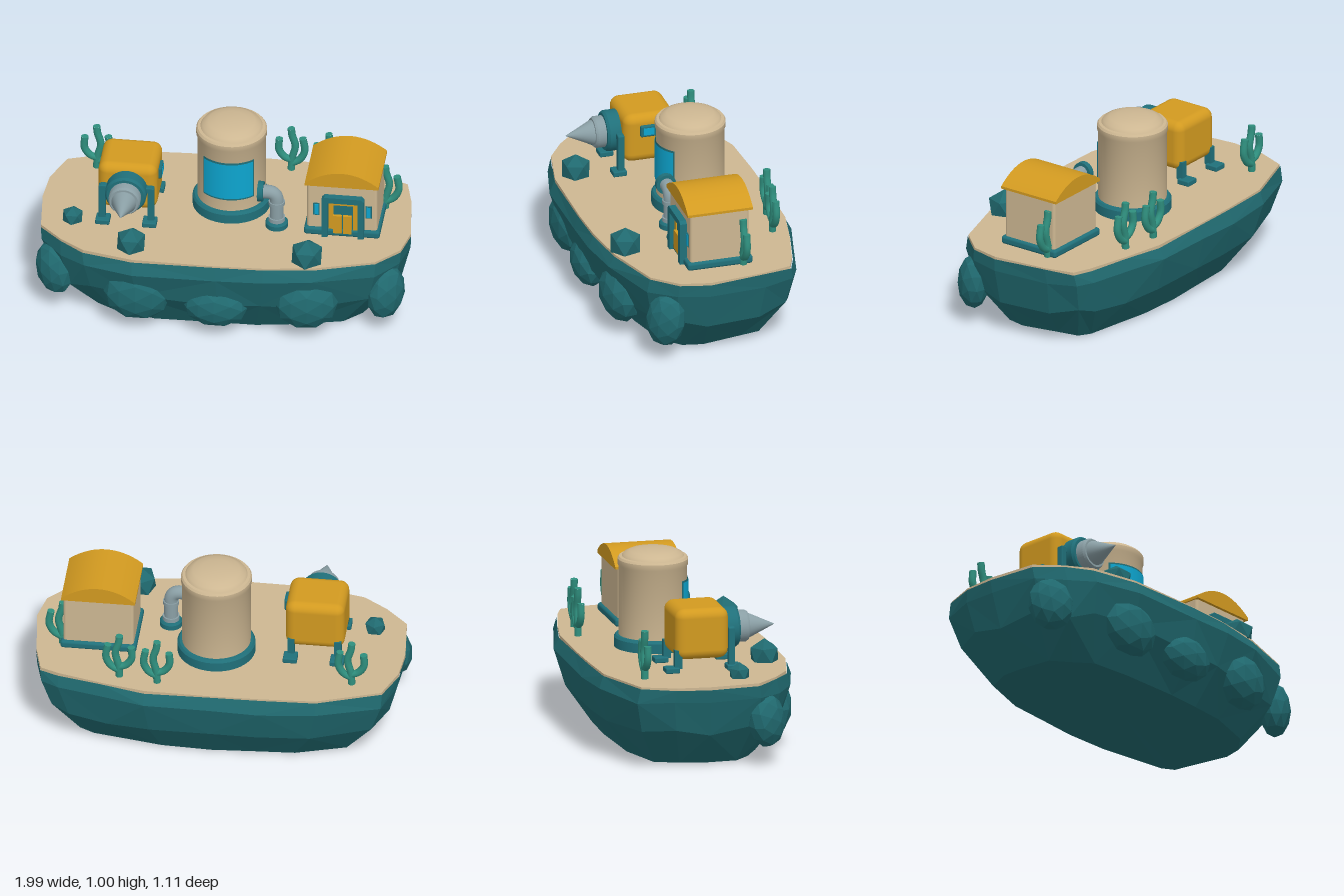
import * as THREE from 'three';
import { toCreasedNormals } from 'three/addons/utils/BufferGeometryUtils.js';
import { RoundedBoxGeometry } from 'three/addons/geometries/RoundedBoxGeometry.js';

const paint = (name, color, extra = {}) => {
  const m = new THREE.MeshStandardMaterial({ color, ...extra });
  m.name = name;
  return m;
};

export function createModel() {
  const teal = paint('teal', 0x20707a);
  const rockTeal = paint('rock teal', 0x20696f, { flatShading: true });
  const sand = paint('sand', 0xcdb792);
  const ochre = paint('ochre', 0xd29a20);
  const blue = paint('window blue', 0x0da5cf, { side: THREE.DoubleSide });
  const grey = paint('steel grey', 0x8a9fa5);
  const green = paint('plant green', 0x2f8f7e);

  const model = new THREE.Group();
  model.name = 'islandBase';
  const group = (name, x, y, z) => {
    const g = new THREE.Group();
    g.name = name;
    g.position.set(x, y, z);
    model.add(g);
    return g;
  };
  const add = (parent, name, geo, mat, x = 0, y = 0, z = 0) => {
    const m = new THREE.Mesh(geo, mat);
    m.name = name;
    m.position.set(x, y, z);
    parent.add(m);
    return m;
  };
  const box = (w, h, d, r = 0) => r ? new RoundedBoxGeometry(w, h, d, 3, r) : new THREE.BoxGeometry(w, h, d);
  const lathe = (pts, n = 40) => toCreasedNormals(
    new THREE.LatheGeometry(pts.map(p => new THREE.Vector2(...p)), n), 0.6);

  let seed = 7;
  const rand = () => (seed = (seed * 16807) % 2147483647) / 2147483647 - 0.5;

  // Island outline, clockwise seen from above, starting at the back left
  const outline = [[-0.98, -0.21], [-0.91, -0.39], [-0.57, -0.51], [-0.28, -0.525], [0, -0.53], [0.34, -0.525],
    [0.57, -0.48], [0.81, -0.42], [0.91, -0.38], [0.95, -0.22], [0.985, 0.08], [0.95, 0.24], [0.83, 0.37],
    [0.51, 0.47], [0.25, 0.505], [0, 0.515], [-0.45, 0.51], [-0.72, 0.45], [-0.85, 0.36], [-0.97, 0.24], [-0.995, -0.03]];

  // Faceted rock body: rings shrinking towards the flat underside
  const levels = [[0.01, 0.78, 0.7, 0.015], [0.21, 0.945, 0.965, 0.05], [0.39, 0.995, 1.055, 0.025], [0.462, 1.003, 1.008, 0.01]];
  const rings = levels.map(([y, sx, sz, j]) => outline.map(([x, z]) =>
    [x * sx + rand() * j * 0.4, y + rand() * j, z * sz + rand() * j * 0.4]));
  const pos = [];
  const n = outline.length;
  for (let i = 0; i < n; i++) {
    const k = (i + 1) % n;
    pos.push(0, 0.008, 0, ...rings[0][i], ...rings[0][k]);
    for (let l = 0; l < rings.length - 1; l++) {
      const a = rings[l][i], b = rings[l][k], c = rings[l + 1][k], d = rings[l + 1][i];
      if ((i + l) % 2) pos.push(...a, ...d, ...c, ...a, ...c, ...b);
      else pos.push(...a, ...d, ...b, ...d, ...c, ...b);
    }
  }
  const rock = new THREE.BufferGeometry();
  rock.setAttribute('position', new THREE.Float32BufferAttribute(pos, 3));
  rock.computeVertexNormals();
  add(model, 'rockBody', rock, rockTeal);

  // Sand slab on top
  const ground = new THREE.Shape(outline.map(([x, z]) => new THREE.Vector2(x, -z)));
  add(model, 'sandTop', new THREE.ExtrudeGeometry(ground, { depth: 0.02, bevelEnabled: false }).rotateX(-Math.PI / 2),
    sand, 0, 0.453, 0);

  // Boulders bulging from the front and corners: position, radii, turn, lean
  [[-0.43, 0.225, 0.45, 0.18, 0.16, 0.09, 0, 0], [-0.01, 0.19, 0.46, 0.175, 0.125, 0.09, 0, 0],
    [0.47, 0.225, 0.43, 0.17, 0.155, 0.1, 0.15, 0], [-0.89, 0.25, 0.3, 0.12, 0.15, 0.09, -0.8, 0.2],
    [0.88, 0.24, 0.3, 0.11, 0.155, 0.085, 0.8, -0.15]].forEach(([x, y, z, a, b, c, turn, lean]) => {
    const m = add(model, 'boulder', new THREE.IcosahedronGeometry(1, 1), rockTeal, x, y, z);
    m.scale.set(a, b, c);
    m.rotation.set(0, turn, lean);
  });

  // Loose stones, each with one corner upwards
  [[-0.81, 0.17, 0.06], [-0.47, 0.39, 0.085], [0.47, 0.4, 0.092]].forEach(([x, z, r]) => {
    const geo = new THREE.IcosahedronGeometry(r, 0).rotateZ(-0.5536).rotateY(0.3);
    add(model, 'stone', geo, rockTeal, x, 0.465 + r * 0.5, z);
  });

  // Storage tank with curved window
  const tank = group('tank', 0.005, 0.47, -0.1);
  add(tank, 'tankFoot', lathe([[0, 0], [0.207, 0], [0.207, 0.055], [0.197, 0.068], [0, 0.068]]), teal);
  add(tank, 'tankBody', lathe([[0.182, 0.05], [0.182, 0.44], [0.188, 0.45], [0.188, 0.48], [0.18, 0.491], [0.165, 0.493],
    [0.155, 0.508], [0.125, 0.522], [0.08, 0.531], [0, 0.535]]), sand);
  const curvedPlate = (r, h, a) => new THREE.CylinderGeometry(r, r, h, 20, 1, true, -a, 2 * a);
  const tealPlate = paint('teal', 0x20707a, { side: THREE.DoubleSide });
  add(tank, 'tankWindowFrame', curvedPlate(0.185, 0.236, 0.82), tealPlate, 0, 0.255, 0);
  add(tank, 'tankWindow', curvedPlate(0.188, 0.216, 0.765), blue, 0, 0.255, 0);

  // Elbow pipe beside the tank
  const pipe = group('pipe', 0.27, 0.47, 0.09);
  add(pipe, 'pipeFoot', lathe([[0, 0], [0.06, 0], [0.06, 0.03], [0.052, 0.04], [0, 0.04]], 24), teal);
  add(pipe, 'pipeCollar', new THREE.CylinderGeometry(0.045, 0.045, 0.025, 24), grey, 0, 0.05, 0);
  const bend = new THREE.CurvePath();
  const v = (x, y, z = 0) => new THREE.Vector3(x, y, z);
  bend.add(new THREE.LineCurve3(v(0, 0.03), v(0, 0.16)));
  bend.add(new THREE.QuadraticBezierCurve3(v(0, 0.16), v(0, 0.215), v(-0.05, 0.215)));
  bend.add(new THREE.LineCurve3(v(-0.05, 0.215), v(-0.1, 0.215)));
  add(pipe, 'elbow', new THREE.TubeGeometry(bend, 32, 0.037, 20), grey);
  add(pipe, 'elbowRing', new THREE.CylinderGeometry(0.043, 0.043, 0.02, 24), grey, 0, 0.15, 0);
  add(pipe, 'pipeFlange', new THREE.CylinderGeometry(0.055, 0.055, 0.03, 24).rotateZ(Math.PI / 2), teal, -0.085, 0.215, 0);

  // House with barrel roof
  const house = group('house', 0.625, 0.47, -0.02);
  add(house, 'plinth', box(0.405, 0.045, 0.36, 0.015), teal, 0, 0.028, 0);
  add(house, 'walls', box(0.375, 0.3, 0.325, 0.015), sand, 0, 0.185, 0);
  const roof = new THREE.Shape();
  roof.moveTo(-0.197, 0).lineTo(0.197, 0).lineTo(0.197, 0.014);
  roof.quadraticCurveTo(0.1, 0.09, 0, 0.09).quadraticCurveTo(-0.1, 0.09, -0.197, 0.014);
  const roofGeo = new THREE.ExtrudeGeometry(roof, { depth: 0.36, bevelEnabled: false, curveSegments: 12 });
  add(house, 'roof', toCreasedNormals(roofGeo, 0.5), ochre, 0, 0.32, -0.18);

  // Doorway: outer arch, ochre lining, recess and two door leaves
  const arch = (w, h, t, depth) => {
    const s = new THREE.Shape([[-w, 0], [-w + t, 0], [-w + t, h - t], [w - t, h - t], [w - t, 0], [w, 0],
      [w, h - 0.015], [w - 0.015, h], [-w + 0.015, h], [-w, h - 0.015]].map(p => new THREE.Vector2(...p)));
    return new THREE.ExtrudeGeometry(s, { depth, bevelEnabled: false });
  };
  add(house, 'doorFrame', arch(0.113, 0.25, 0.033, 0.045), teal, 0.007, 0.012, 0.155);
  add(house, 'doorLining', arch(0.079, 0.215, 0.027, 0.012), ochre, 0.007, 0.012, 0.16);
  add(house, 'doorRecess', box(0.11, 0.17, 0.006), teal, 0.007, 0.115, 0.165);
  for (const s of [-1, 1]) {
    add(house, 'doorLeaf', box(0.046, 0.11, 0.02), ochre, 0.004 + s * 0.026, 0.085, 0.175);
    add(house, 'sideWindowFrame', box(0.034, 0.075, 0.006), teal, 0.003 + s * 0.139, 0.165, 0.164);
    add(house, 'sideWindow', box(0.022, 0.063, 0.006), blue, 0.003 + s * 0.139, 0.165, 0.167);
  }

  // Drilling machine
  const drill = group('drillMachine', -0.522, 0.47, 0);
  add(drill, 'machineBody', box(0.315, 0.275, 0.29, 0.05), ochre, 0, 0.212, 0.005);
  const front = (geo) => geo.rotateX(Math.PI / 2);
  add(drill, 'drillCollar', front(lathe([[0, 0], [0.11, 0], [0.11, 0.065], [0.1, 0.078], [0, 0.078]])), teal, 0, 0.212, 0.147);
  add(drill, 'drillChuck', front(lathe([[0, 0], [0.085, 0], [0.085, 0.05], [0.077, 0.062], [0, 0.062]])), grey, 0, 0.212, 0.22);
  add(drill, 'drillTip', front(lathe([[0.066, 0], [0.066, 0.012], [0, 0.155]])), grey, 0, 0.212, 0.278);
  for (const s of [-1, 1]) {
    for (const z of [-0.16, 0.175]) {
      add(drill, 'foot', box(0.075, 0.03, 0.075, 0.006), teal, s * 0.125, 0.025, z);
    }
    add(drill, 'frontPost', box(0.036, 0.21, 0.036, 0.006), teal, s * 0.13, 0.135, 0.165);
    add(drill, 'frontBrace', box(0.06, 0.035, 0.036, 0.006), teal, s * 0.11, 0.225, 0.165);
    add(drill, 'backPost', box(0.036, 0.1, 0.04), teal, s * 0.125, 0.08, -0.125);
  }
  add(drill, 'machineWindowFrame', box(0.024, 0.065, 0.09, 0.008), teal, 0.162, 0.262, 0.02);
  add(drill, 'machineWindow', box(0.008, 0.04, 0.06), blue, 0.172, 0.262, 0.02);

  // Branching plants: a wavy trunk and two arms, flat at the tips
  const stems = [[[0, 0], [0.005, 0.07], [0.022, 0.15], [0.004, 0.22], [0, 0.26]],
    [[0.002, 0.06], [-0.035, 0.075], [-0.065, 0.12], [-0.063, 0.19]],
    [[0.005, 0.04], [0.045, 0.065], [0.072, 0.12], [0.062, 0.2]]];
  [[-0.745, -0.33], [0.28, -0.44], [0.485, -0.41], [0.82, -0.147]].forEach(([x, z]) => {
    const plant = group('plant', x, 0.478, z);
    for (const pts of stems) {
      const curve = new THREE.CatmullRomCurve3(pts.map(p => v(...p)));
      add(plant, 'stem', new THREE.TubeGeometry(curve, 16, 0.02, 10), green);
      const tip = add(plant, 'stemTip', new THREE.CircleGeometry(0.02, 10), green, ...pts.at(-1));
      tip.quaternion.setFromUnitVectors(v(0, 0, 1), curve.getTangent(1));
    }
  });
  return model;
}
